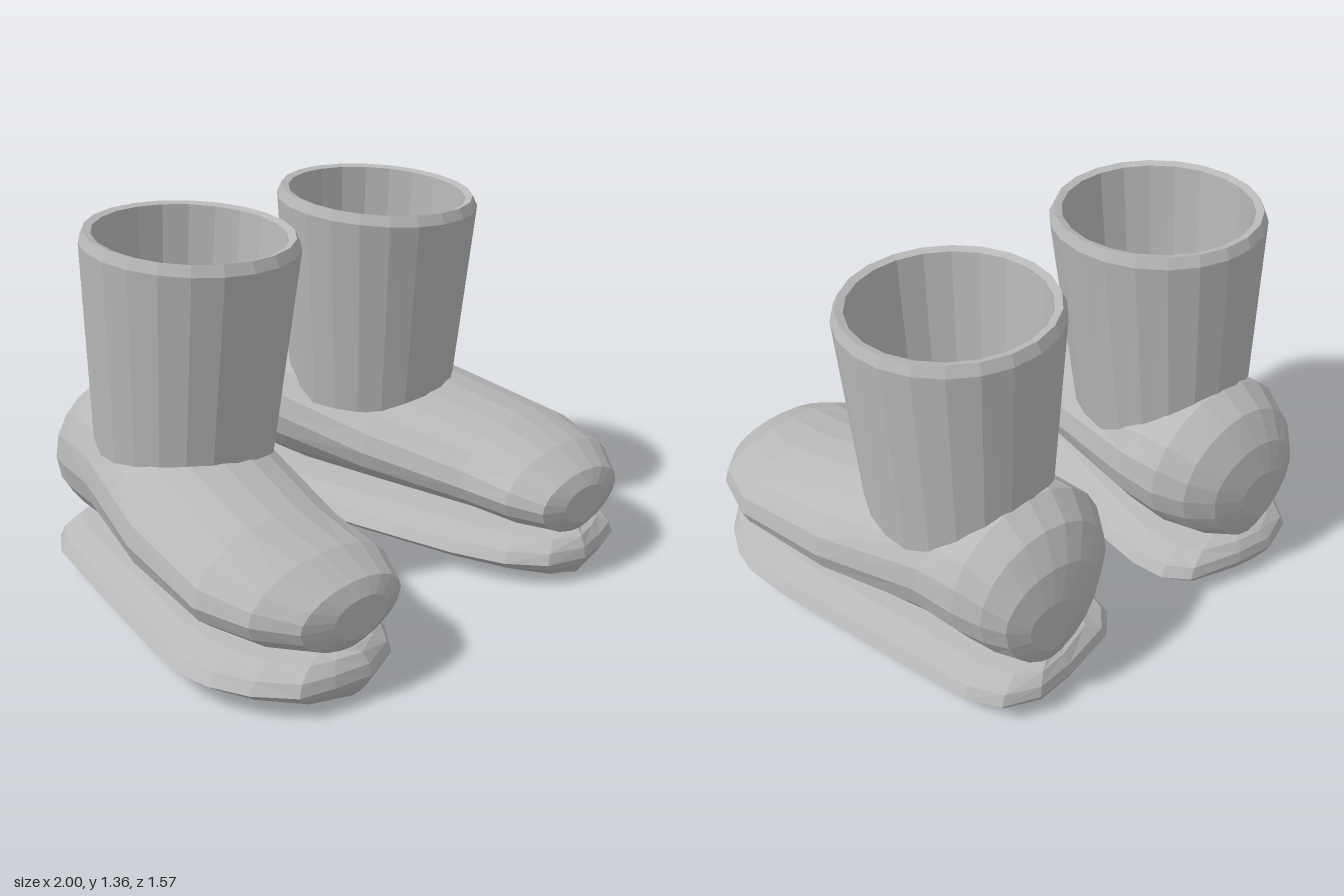
import * as THREE from 'three';

const TAU = Math.PI * 2;

// Skins a list of equal-length rings into a flat-shaded solid; side mirrors it in x.
function loft(rings, side, capped) {
  const n = rings[0].length;
  const tris = [];
  const tri = (a, b, c) => tris.push([a, b, c]);
  for (let i = 0; i < rings.length - 1; i++) {
    for (let j = 0; j < n; j++) {
      const k = (j + 1) % n;
      const a = rings[i][j], b = rings[i][k], c = rings[i + 1][k], d = rings[i + 1][j];
      tri(a, b, c);
      tri(a, c, d);
    }
  }
  if (capped) {
    const centre = (r) => r.reduce((s, p) => s.add(p), new THREE.Vector3()).divideScalar(n);
    const first = rings[0], last = rings[rings.length - 1];
    const c0 = centre(first), c1 = centre(last);
    for (let j = 0; j < n; j++) {
      const k = (j + 1) % n;
      tri(c0, first[k], first[j]);
      tri(c1, last[j], last[k]);
    }
  }
  // Signed volume tells whether the corners run inside out
  let volume = 0;
  const cross = new THREE.Vector3();
  for (const [a, b, c] of tris) volume += a.dot(cross.crossVectors(b, c));
  const flip = volume * side < 0;
  const pos = [];
  for (const [a, b, c] of tris) {
    for (const p of flip ? [a, c, b] : [a, b, c]) pos.push(p.x * side, p.y, p.z);
  }
  const geo = new THREE.BufferGeometry();
  geo.setAttribute('position', new THREE.Float32BufferAttribute(pos, 3));
  geo.computeVertexNormals();
  return geo;
}

// Sole: the plan outline, shrunk more in x than in z towards the top and bottom
function soleRings() {
  const outline = [
    [0.57, 0.78], [0.71, 0.755], [0.83, 0.72], [0.93, 0.6], [0.985, 0.47], [1.0, 0.36], [0.975, 0.18],
    [0.87, -0.25], [0.775, -0.62], [0.7, -0.735], [0.57, -0.785], [0.42, -0.77], [0.21, -0.72],
    [0.135, -0.64], [0.11, -0.52], [0.115, -0.38], [0.17, 0.0], [0.25, 0.4], [0.32, 0.6], [0.42, 0.725],
  ];
  const levels = [ // x scale, z scale, y
    [0.3, 0.925, 0], [0.65, 0.95, 0.02], [0.9, 0.985, 0.06], [1, 1, 0.09],
    [0.92, 0.99, 0.13], [0.68, 0.96, 0.165], [0.35, 0.93, 0.18],
  ];
  return levels.map(([sx, sz, y]) => outline.map(([x, z]) => {
    const cx = THREE.MathUtils.clamp(0.56 + 0.22 * z, 0.46, 0.61);
    return new THREE.Vector3(cx + (x - cx) * sx, y, z * sz);
  }));
}

// Shoe body: egg-shaped sections from toe to heel, narrow underneath
function upperRings() {
  const sections = [ // z, centre x, half width, bottom y, widest y, top y
    [0.75, 0.59, 0.12, 0.22, 0.3, 0.36],
    [0.72, 0.6, 0.225, 0.18, 0.31, 0.41],
    [0.6, 0.62, 0.31, 0.17, 0.33, 0.475],
    [0.4, 0.635, 0.345, 0.17, 0.34, 0.535],
    [0.0, 0.555, 0.37, 0.17, 0.39, 0.625],
    [-0.4, 0.46, 0.34, 0.17, 0.45, 0.72],
    [-0.57, 0.45, 0.325, 0.17, 0.46, 0.765],
    [-0.67, 0.46, 0.275, 0.17, 0.45, 0.7],
    [-0.735, 0.48, 0.2, 0.18, 0.43, 0.59],
    [-0.765, 0.5, 0.1, 0.26, 0.4, 0.47],
  ];
  const n = 20;
  return sections.map(([z, cx, hw, y0, ym, y1]) => Array.from({ length: n }, (_, i) => {
    const c = Math.cos(i / n * TAU), s = Math.sin(i / n * TAU);
    const w = Math.sign(c) * Math.abs(c) ** (s < 0 ? 1.25 : 1);
    return new THREE.Vector3(cx + hw * w, ym + s * (s < 0 ? ym - y0 : y1 - ym), z);
  }));
}

// Shaft: a hollow tapered tube with a bevelled rim that rises to the back
function shaftRings() {
  const levels = [ // centre x, centre z, radius x, radius z, y, rise to the back
    [0.48, -0.24, 0.305, 0.335, 0.53, 0],
    [0.457, -0.193, 0.368, 0.39, 1.3, 0.025],
    [0.457, -0.193, 0.352, 0.372, 1.338, 0.025],
    [0.457, -0.193, 0.325, 0.345, 1.33, 0.025],
    [0.472, -0.24, 0.27, 0.293, 0.53, 0],
  ];
  const n = 22;
  const rings = levels.map(([cx, cz, rx, rz, y, rise]) => Array.from({ length: n }, (_, i) => {
    const c = Math.cos(i / n * TAU), s = Math.sin(i / n * TAU);
    return new THREE.Vector3(cx + rx * c, y - rise * s, cz + rz * s);
  }));
  return [...rings, rings[0]];
}

export function createModel() {
  const grey = new THREE.MeshStandardMaterial({ color: 0xb8b8b8 });
  grey.name = 'light grey';
  const model = new THREE.Group();
  model.name = 'boots';

  for (const side of [1, -1]) {
    const boot = new THREE.Group();
    boot.name = side > 0 ? 'leftBoot' : 'rightBoot';
    const add = (name, rings, capped) => {
      const mesh = new THREE.Mesh(loft(rings, side, capped), grey);
      mesh.name = name;
      boot.add(mesh);
    };
    add('sole', soleRings(), true);
    add('upper', upperRings(), true);
    add('shaft', shaftRings(), false);
    model.add(boot);
  }
  return model;
}
